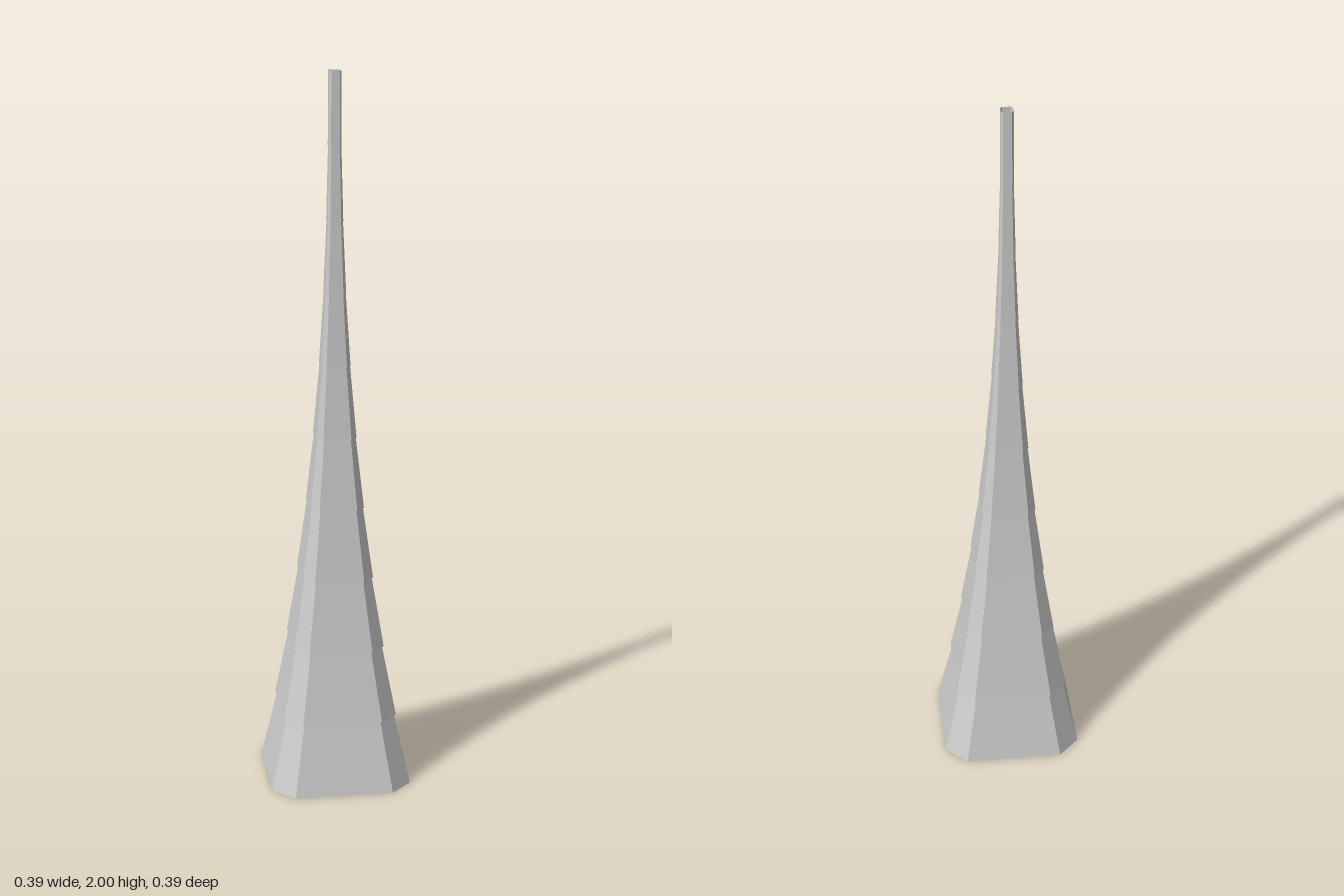
import * as THREE from 'three';

const TIERS = 10, HEIGHT = 2, CHAMFER = 0.7;

// Half-width of the flared spire at tier boundary i
const halfWidth = i => 0.016 + 0.181 * Math.pow(1 - i / TIERS, 2.2);

// Square with cut corners, counter-clockwise seen from above
function ring(r, y) {
  const c = r * CHAMFER;
  return [[r, c], [r, -c], [c, -r], [-c, -r], [-r, -c], [-r, c], [-c, r], [c, r]]
    .map(([x, z]) => [x, y, z]);
}

// Open tapered tube between two rings, with flat faces
function tierGeometry(bottom, top) {
  const pos = [];
  for (let i = 0; i < 8; i++) {
    const j = (i + 1) % 8;
    pos.push(...bottom[i], ...bottom[j], ...top[j], ...bottom[i], ...top[j], ...top[i]);
  }
  const g = new THREE.BufferGeometry();
  g.setAttribute('position', new THREE.Float32BufferAttribute(pos, 3));
  g.computeVertexNormals();
  return g;
}

export function createModel() {
  const model = new THREE.Group();
  model.name = 'spire';
  const material = new THREE.MeshStandardMaterial({
    color: 0xcccccc, flatShading: true, side: THREE.DoubleSide,
  });
  // Stacked hollow tiers; each tucks slightly inside the one above
  const step = HEIGHT / TIERS;
  for (let i = 0; i < TIERS; i++) {
    const tuck = i < TIERS - 1 ? 0.965 : 1;
    const tier = new THREE.Mesh(tierGeometry(
      ring(halfWidth(i), i * step),
      ring(halfWidth(i + 1) * tuck, (i + 1) * step)), material);
    tier.name = `spireTier${i + 1}`;
    model.add(tier);
  }
  return model;
}
